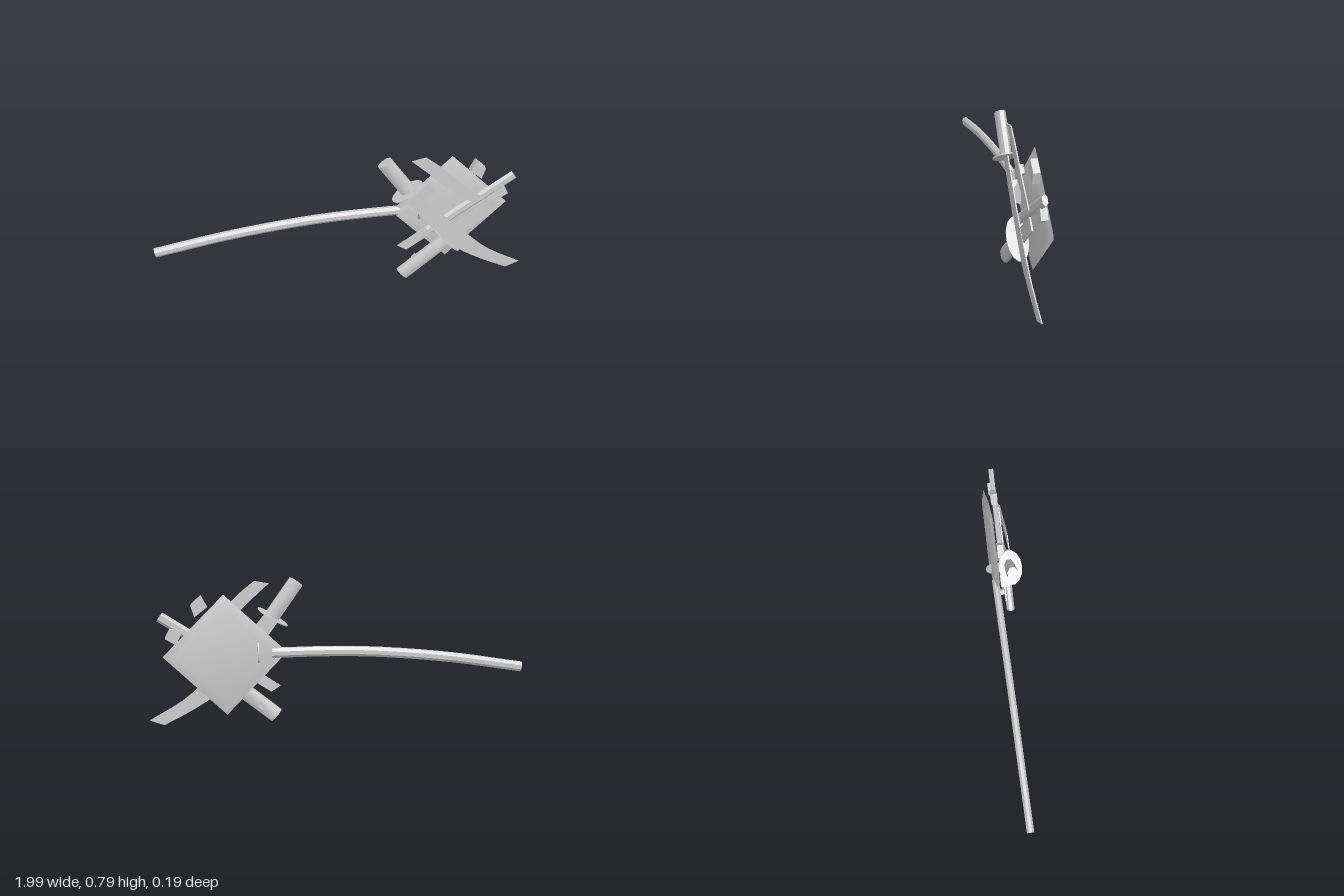
import * as THREE from 'three';
import { toCreasedNormals } from 'three/addons/utils/BufferGeometryUtils.js';

const material = new THREE.MeshStandardMaterial({ color: 0xcccccc, side: THREE.DoubleSide });

export function createModel() {
  const group = new THREE.Group();

  const add = (name, geometry, z = 0) => {
    const mesh = new THREE.Mesh(geometry, material);
    mesh.name = name;
    mesh.position.z = z;
    group.add(mesh);
    return mesh;
  };

  // Faceted bar swept along a curve in the xy plane
  const bar = (name, points, halfWidth, halfDepth, z, sides = 8) => {
    const curve = new THREE.CatmullRomCurve3(points.map(([x, y]) => new THREE.Vector3(x, y, 0)));
    const steps = points.length > 2 ? 14 : 1;
    const geometry = new THREE.CylinderGeometry(1, 1, 1, sides, steps);
    geometry.rotateY(Math.PI / sides);
    const pos = geometry.attributes.position;
    for (let i = 0; i < pos.count; i++) {
      const t = THREE.MathUtils.clamp(pos.getY(i) + 0.5, 0, 1);
      const p = curve.getPointAt(t), d = curve.getTangentAt(t);
      const side = pos.getX(i) * halfWidth;
      pos.setXYZ(i, p.x + d.y * side, p.y - d.x * side, pos.getZ(i) * halfDepth);
    }
    return add(name, toCreasedNormals(geometry, 0.6), z);
  };

  // Flat piece cut from an outline, centred on the given z
  const flat = (name, outline, depth, z) => {
    const shape = new THREE.Shape(outline.map(([x, y]) => new THREE.Vector2(x, y)));
    const geometry = new THREE.ExtrudeGeometry(shape, { depth, bevelEnabled: false });
    return add(name, geometry.translate(0, 0, -depth / 2), z);
  };

  // Curved blade between two smooth edges
  const blade = (name, upper, lower, z) => {
    const edge = (pts) => new THREE.SplineCurve(pts.map(([x, y]) => new THREE.Vector2(x, y)))
      .getPoints(12).map((p) => [p.x, p.y]);
    return flat(name, [...edge(upper), ...edge(lower).reverse()], 0.006, z);
  };

  // Thin oval guard seen edge-on from the front
  const guard = (name, [x, y], angle, halfLength, halfDepth, z) => {
    const mesh = add(name, toCreasedNormals(new THREE.CylinderGeometry(1, 1, 0.007, 14), 0.6), z);
    mesh.scale.set(halfLength, 1, halfDepth);
    mesh.position.set(x, y, z);
    mesh.rotation.z = angle;
  };

  // Long bowed handle with its guard
  bar('longHandle', [[-1, 0.285], [-0.6, 0.355], [-0.2, 0.4], [0.05, 0.412], [0.34, 0.414]], 0.028, 0.02, -0.05);
  guard('longHandleGuard', [0.41, 0.42], Math.PI / 2, 0.063, 0.053, -0.04);

  // Square plate with knife-like edges: rings shrink towards both faces
  const ring = (size, z) => [[0, 0.325], [-0.32, 0.01], [0, -0.325], [0.32, 0.005]]
    .map(([x, y]) => [0.58 + x * size, 0.405 + y * size, z]);
  const rings = [ring(0, 0.018), ring(0.78, 0.018), ring(1, 0), ring(0.78, -0.018), ring(0, -0.018)];
  const index = [];
  for (let r = 0; r < 4; r++) {
    for (let i = 0; i < 4; i++) {
      const a = r * 4 + i, b = r * 4 + (i + 1) % 4;
      index.push(a, a + 4, b, b, a + 4, b + 4);
    }
  }
  const plate = new THREE.BufferGeometry();
  plate.setAttribute('position', new THREE.Float32BufferAttribute(rings.flat(2), 3));
  plate.setIndex(index);
  plate.computeVertexNormals();
  add('squarePlate', toCreasedNormals(plate, 0.7), -0.045);

  // Upper sword
  bar('upperHilt', [[0.203, 0.772], [0.335, 0.585]], 0.042, 0.028, 0.027);
  guard('upperGuard', [0.328, 0.585], 0.57, 0.093, 0.061, 0.031);
  blade('upperBlade',
    [[0.365, 0.61], [0.52, 0.42], [0.68, 0.26], [0.81, 0.145], [0.99, 0.04]],
    [[0.3, 0.56], [0.45, 0.36], [0.61, 0.19], [0.76, 0.09], [0.915, 0.01]], 0.027);

  // Lower sword
  bar('lowerHilt', [[0.318, 0.038], [0.558, 0.245]], 0.044, 0.024, 0.028);
  guard('lowerGuard', [0.558, 0.25], -0.83, 0.114, 0.055, 0.028);
  flat('lowerBlade', [[0.53, 0.275], [0.585, 0.215], [0.8, 0.41], [0.755, 0.46]], 0.008, 0.024);

  // Loose curved blade
  blade('curvedBlade',
    [[0.42, 0.78], [0.5, 0.715], [0.61, 0.61], [0.75, 0.49]],
    [[0.345, 0.765], [0.44, 0.68], [0.55, 0.575], [0.68, 0.48]], 0.027);

  // Small crossing weapon
  bar('smallHilt', [[0.908, 0.612], [0.46, 0.3]], 0.028, 0.015, 0.002, 6);
  flat('smallBlade', [[0.295, 0.215], [0.345, 0.183], [0.49, 0.285], [0.45, 0.325]], 0.008, 0.002);

  // Small fittings
  const fittings = [
    [[0.79, 0.54], [0.86, 0.55], [0.885, 0.5], [0.83, 0.465]],
    [[0.695, 0.72], [0.748, 0.67], [0.73, 0.61], [0.665, 0.66]],
    [[0.41, 0.545], [0.46, 0.595], [0.49, 0.56], [0.44, 0.51]],
    [[0.29, 0.425], [0.345, 0.465], [0.38, 0.43], [0.325, 0.39]],
    [[0.38, 0.11], [0.4, 0.13], [0.42, 0.11], [0.4, 0.09]],
  ];
  for (const outline of fittings) flat('fitting', outline, 0.034, -0.007);

  return group;
}
